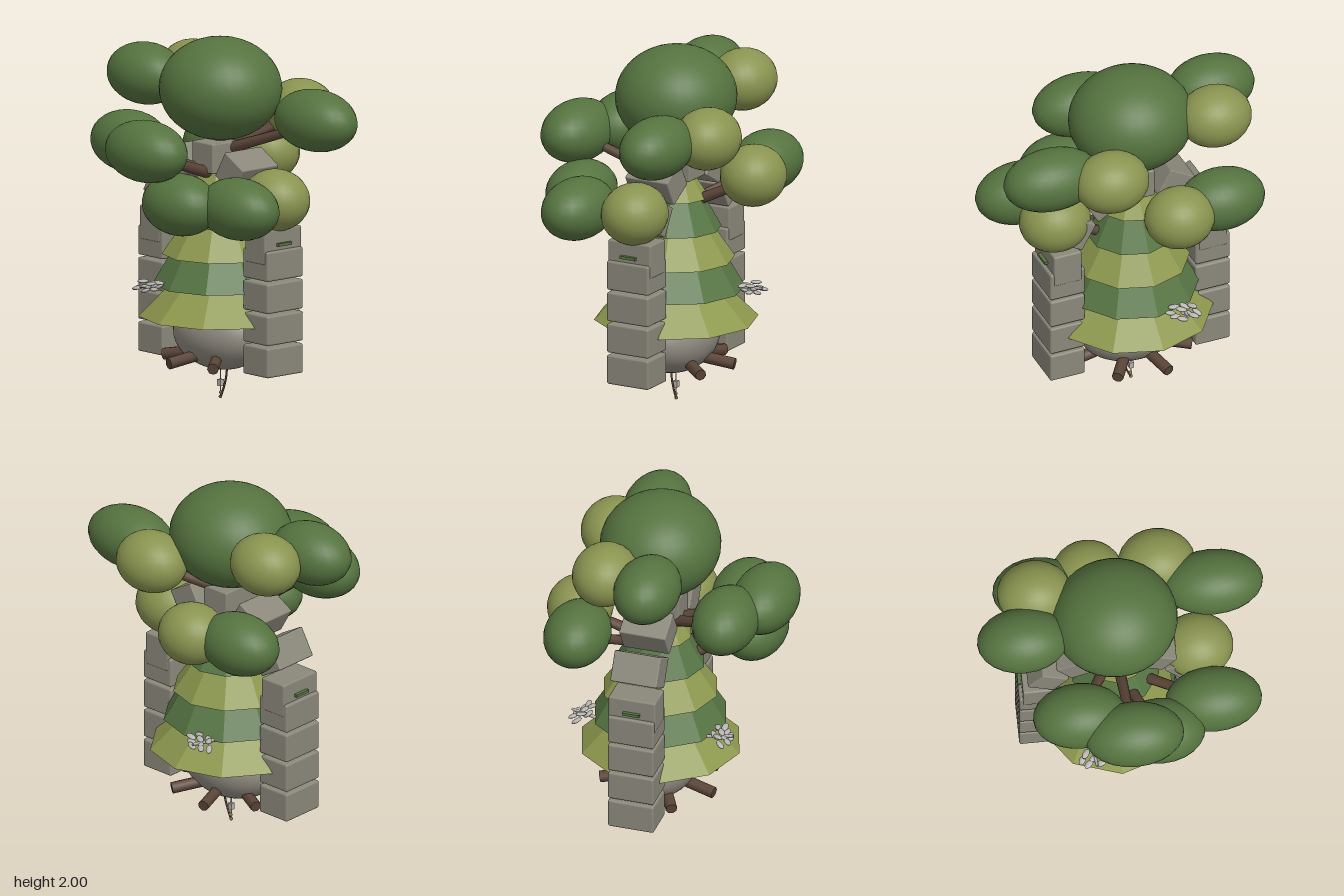
import * as THREE from 'three';
import { RoundedBoxGeometry } from 'three/addons/geometries/RoundedBoxGeometry.js';

const CX = -0.04, CZ = -0.08; // central axis

export function createModel() {
  const group = new THREE.Group();
  const mat = (name, color) => {
    const m = new THREE.MeshStandardMaterial({ color });
    m.name = name;
    return m;
  };
  const leaf = mat('leaf green', 0x55733f);
  const olive = mat('olive leaf', 0x8a9450);
  const tierGreen = mat('tier green', 0x567544);
  const tierOlive = mat('tier olive', 0x8d984e);
  const stone = mat('block stone', 0x8a877a);
  const boulder = mat('boulder stone', 0x8f8a80);
  const bark = mat('bark', 0x5a4437);
  const pale = mat('pale grey', 0xb4b3ae);
  const brass = mat('brass', 0x7a6d45);
  tierGreen.flatShading = tierOlive.flatShading = true;

  const add = (name, geo, material, x, y, z) => {
    const m = new THREE.Mesh(geo, material);
    m.name = name;
    m.position.set(x, y, z);
    group.add(m);
    return m;
  };
  const ellipsoid = (name, material, p, r, seg = 24) => {
    const m = add(name, new THREE.SphereGeometry(1, seg, Math.round(seg * 0.7)), material, ...p);
    m.scale.set(...r);
    return m;
  };
  // Cylinder running between two points
  const rod = (name, material, a, b, r0, r1, sides = 8) => {
    const A = new THREE.Vector3(...a), B = new THREE.Vector3(...b), d = B.clone().sub(A);
    const mid = A.clone().add(B).multiplyScalar(0.5);
    const m = add(name, new THREE.CylinderGeometry(r1, r0, d.length(), sides), material, mid.x, mid.y, mid.z);
    m.quaternion.setFromUnitVectors(new THREE.Vector3(0, 1, 0), d.normalize());
    return m;
  };

  // Boulder body with a small knob on its front and back
  ellipsoid('boulder', boulder, [CX, 0.365, CZ], [0.305, 0.2, 0.215], 32);
  for (const s of [1, -1]) {
    ellipsoid('knob', boulder, [CX, 0.45, CZ + s * 0.2], [0.037, 0.037, 0.037], 16);
    ellipsoid('knobTip', boulder, [CX, 0.443, CZ + s * 0.225], [0.024, 0.024, 0.024], 12);
  }

  // Seven roots spread around the boulder
  for (let i = 0; i < 7; i++) {
    const a = -0.18 + (i * Math.PI * 2) / 7, s = Math.sin(a), c = Math.cos(a);
    rod('root', bark, [CX + s * 0.1, 0.262, CZ + c * 0.1], [CX + s * 0.33, 0.225, CZ + c * 0.33], 0.032, 0.032);
  }

  // Hanging cord, curved tail root and small weight
  const tail = new THREE.CatmullRomCurve3([
    new THREE.Vector3(0.015, 0.19, CZ), new THREE.Vector3(0.005, 0.12, CZ),
    new THREE.Vector3(-0.015, 0.06, CZ), new THREE.Vector3(-0.038, 0.01, CZ)]);
  add('tailRoot', new THREE.TubeGeometry(tail, 12, 0.006, 6), bark, 0, 0, 0);
  rod('cord', pale, [CX, 0.02, CZ], [CX, 0.18, CZ], 0.003, 0.003, 6);
  add('cordBox', new THREE.BoxGeometry(0.026, 0.036, 0.026), pale, CX, 0.088, CZ);
  ellipsoid('cordWeight', brass, [CX + 0.005, 0.034, CZ], [0.011, 0.011, 0.011], 10);
  ellipsoid('cordTip', brass, [CX, 0.01, CZ], [0.01, 0.01, 0.01], 10);

  // Ten-sided foliage tiers: base height, base radius, top radius
  const tiers = [[0.465, 0.45, 0.255], [0.64, 0.375, 0.26], [0.807, 0.322, 0.19],
    [0.98, 0.248, 0.14], [1.155, 0.175, 0.07]];
  tiers.forEach(([y, r, top], i) => {
    const h = i === 4 ? 0.17 : 0.195;
    add('foliageTier', new THREE.CylinderGeometry(top, r, h, 10), i % 2 ? tierGreen : tierOlive, CX, y + h / 2, CZ);
  });
  rod('trunk', bark, [CX, 0.45, CZ], [CX, 1.5, CZ], 0.06, 0.035);

  // Stone pillars with capital blocks and a mossy slit
  for (const s of [-1, 1]) {
    const x = CX + s * 0.43;
    for (let i = 0; i < 4; i++) {
      add('pillarBlock', new RoundedBoxGeometry(0.205, 0.165, 0.262, 2, 0.012), stone, x, 0.285 + i * 0.178, CZ);
    }
    add('capitalBlock', new RoundedBoxGeometry(0.165, 0.19, 0.268, 2, 0.01), stone, x, 0.922, CZ);
    add('mossStrip', new THREE.BoxGeometry(0.205, 0.016, 0.095), leaf, x, 0.932, CZ);
  }

  // Arch stones
  for (let i = 1; i <= 5; i++) {
    const a = (i * Math.PI) / 6;
    const b = add('archStone', new RoundedBoxGeometry(0.165, 0.17, 0.265, 2, 0.008), stone,
      CX + Math.cos(a) * 0.432, 0.92 + Math.sin(a) * 0.432, CZ);
    b.rotation.z = a;
  }

  // Pebble clusters resting on the lower tiers, front and back
  for (const s of [1, -1]) {
    for (let i = 0; i < 10; i++) {
      const u = (i % 5) / 4 - 0.5, row = Math.floor(i / 5);
      const p = ellipsoid('pebble', pale,
        [-0.19 + u * 0.13 + row * 0.02, 0.638 + row * 0.022 + (i % 3) * 0.006, CZ + s * (0.41 - row * 0.05 + (i % 2) * 0.03)],
        [0.032, 0.01, 0.018], 10);
      p.rotation.set(0.2 * s, s * (0.5 - u), 0.25 - 0.2 * (i % 3));
    }
    rod('twig', pale, [-0.2, 0.64, CZ + s * 0.3], [-0.18, 0.66, CZ + s * 0.46], 0.012, 0.008, 6);
  }

  // Crown and leaf clumps, each on its own branch: x, y, z, half width, material
  ellipsoid('crown', leaf, [CX - 0.0, 1.72, CZ], [0.345, 0.282, 0.33], 32);
  const clumps = [
    [-0.55, 1.74, 0.01, 0.25, leaf], [0.515, 1.595, -0.28, 0.277, leaf],
    [0.47, 1.165, 0.24, 0.265, leaf], [0.165, 1.165, 0.395, 0.245, leaf],
    [0.01, 1.452, 0.505, 0.273, leaf], [-0.275, 1.452, 0.37, 0.255, leaf],
    [-0.425, 1.305, -0.43, 0.247, leaf], [-0.145, 1.305, -0.505, 0.195, olive],
    [0.225, 1.595, -0.43, 0.21, olive], [-0.46, 1.735, -0.26, 0.205, olive],
    [0.41, 1.165, -0.08, 0.2, olive]];
  for (const [x, y, z, rx, m] of clumps) {
    ellipsoid('leafClump', m, [x, y, z], [rx, 0.17, 0.18]);
    rod('branch', bark, [CX, y - 0.22, CZ], [x, y - 0.02, z], 0.034, 0.024);
  }
  return group;
}
